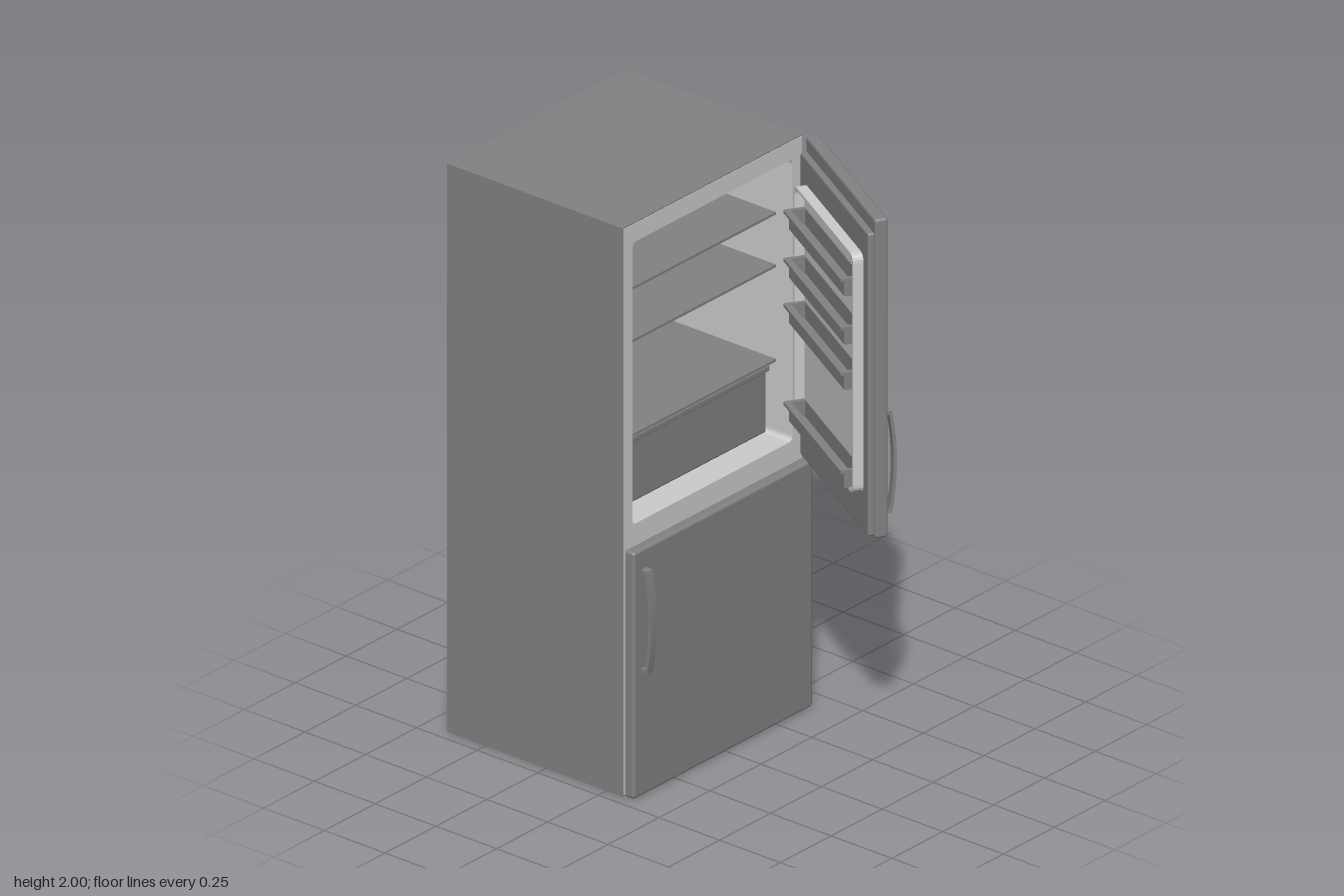
import * as THREE from 'three';
import { RoundedBoxGeometry } from 'three/addons/geometries/RoundedBoxGeometry.js';

const light = new THREE.MeshStandardMaterial({ color: 0xcccccc });
light.name = 'light grey';
const dark = new THREE.MeshStandardMaterial({ color: 0x828282 });
dark.name = 'dark grey';

function add(parent, name, geometry, material) {
  const mesh = new THREE.Mesh(geometry, material);
  mesh.name = name;
  parent.add(mesh);
  return mesh;
}

// Box given by its limits; a radius rounds the edges
function box(parent, name, material, [x0, x1], [y0, y1], [z0, z1], radius = 0) {
  const size = [x1 - x0, y1 - y0, z1 - z0];
  const geometry = radius
    ? new RoundedBoxGeometry(...size, 3, radius)
    : new THREE.BoxGeometry(...size);
  geometry.translate((x0 + x1) / 2, (y0 + y1) / 2, (z0 + z1) / 2);
  return add(parent, name, geometry, material);
}

// Rounded rectangle outline
function outline(target, x0, x1, y0, y1, r) {
  target.moveTo(x0 + r, y0);
  target.lineTo(x1 - r, y0);
  target.quadraticCurveTo(x1, y0, x1, y0 + r);
  target.lineTo(x1, y1 - r);
  target.quadraticCurveTo(x1, y1, x1 - r, y1);
  target.lineTo(x0 + r, y1);
  target.quadraticCurveTo(x0, y1, x0, y1 - r);
  target.lineTo(x0, y0 + r);
  target.quadraticCurveTo(x0, y0, x0 + r, y0);
  return target;
}

// Extruded rounded frame with a rounded opening
function frame(outer, inner, depth) {
  const shape = outline(new THREE.Shape(), ...outer);
  shape.holes.push(outline(new THREE.Path(), ...inner));
  return new THREE.ExtrudeGeometry(shape, { depth, bevelEnabled: false, curveSegments: 5 });
}

// Bowed pull handle, standing out along +z
function handle(parent, x, y, z) {
  const s = new THREE.Shape();
  s.moveTo(0, -0.18);
  s.lineTo(0.026, -0.18);
  s.quadraticCurveTo(0.06, 0, 0.026, 0.18);
  s.lineTo(0, 0.18);
  s.lineTo(0, 0.167);
  s.lineTo(0.017, 0.167);
  s.quadraticCurveTo(0.046, 0, 0.017, -0.167);
  s.lineTo(0, -0.167);
  const geometry = new THREE.ExtrudeGeometry(s, { depth: 0.028, bevelEnabled: false, curveSegments: 16 });
  geometry.translate(0, 0, -0.014).rotateY(-Math.PI / 2);
  add(parent, 'handle', geometry, dark).position.set(x, y, z);
}

// Open storage bin on the inside of the upper door
function doorBin(parent, top) {
  const bin = new THREE.Group();
  bin.name = 'doorBin';
  const wall = frame([-0.582, -0.061, 0.066, 0.125, 0.008], [-0.574, -0.069, 0.072, 0.117, 0.006], 0.06);
  const rim = frame([-0.588, -0.055, 0.066, 0.14, 0.008], [-0.574, -0.069, 0.072, 0.117, 0.006], 0.01);
  // shape y becomes -z, extrusion becomes +y
  add(bin, 'binWall', wall.rotateX(-Math.PI / 2), dark).position.y = top - 0.065;
  add(bin, 'binRim', rim.rotateX(-Math.PI / 2), dark).position.y = top - 0.01;
  box(bin, 'binFloor', dark, [-0.576, -0.067], [top - 0.065, top - 0.057], [-0.12, -0.068]);
  parent.add(bin);
}

export function createModel() {
  const model = new THREE.Group();
  model.name = 'refrigerator';

  // Cabinet: a hollow upper compartment, with contrasting outer panels
  const cabinet = new THREE.Group();
  cabinet.name = 'cabinet';
  model.add(cabinet);
  const shell = frame([-0.456, 0.418, 0.004, 1.996, 0.003], [-0.414, 0.372, 0.94, 1.932, 0.02], 0.67);
  add(cabinet, 'cabinetShell', shell, light).position.z = -0.602;
  box(cabinet, 'backPanel', light, [-0.456, 0.418], [0.004, 1.996], [-0.66, -0.602]);
  box(cabinet, 'sidePanel', dark, [-0.46, -0.456], [0, 2], [-0.658, 0.066]);
  box(cabinet, 'topPanel', dark, [-0.46, 0.418], [1.996, 2], [-0.658, 0.066]);
  box(cabinet, 'bottomPanel', dark, [-0.46, 0.418], [0, 0.004], [-0.658, 0.066]);

  // Shelves and drawer
  for (const y of [1.72, 1.535, 1.203]) {
    box(cabinet, 'shelf', dark, [-0.414, 0.372], [y - 0.005, y + 0.004], [-0.602, 0]);
  }
  box(cabinet, 'drawer', dark, [-0.405, 0.363], [0.942, 1.165], [-0.58, -0.03], 0.01);
  box(cabinet, 'drawerLip', dark, [-0.41, 0.368], [1.16, 1.182], [-0.58, -0.02], 0.005);

  // Lower door
  const lowerDoor = new THREE.Group();
  lowerDoor.name = 'lowerDoor';
  model.add(lowerDoor);
  box(lowerDoor, 'lowerDoorPanel', dark, [-0.46, 0.42], [0.003, 0.87], [0.072, 0.113], 0.01);
  box(lowerDoor, 'lowerDoorSeal', dark, [-0.44, 0.4], [0.02, 0.85], [0.066, 0.074]);
  handle(lowerDoor, -0.411, 0.62, 0.112);

  // Upper door, swung open; its outer face is local z = 0
  const upperDoor = new THREE.Group();
  upperDoor.name = 'upperDoor';
  upperDoor.position.set(0.461, 0, 0.102);
  upperDoor.rotation.y = Math.PI / 3;
  model.add(upperDoor);
  box(upperDoor, 'upperDoorPanel', dark, [-0.645, 0], [0.876, 2], [-0.045, 0], 0.01);
  box(upperDoor, 'upperDoorInner', dark, [-0.637, -0.008], [0.884, 1.95], [-0.066, -0.04], 0.008);
  const ring = frame([-0.596, -0.047, 1.02, 1.86, 0.03], [-0.586, -0.057, 1.03, 1.85, 0.025], 0.038);
  add(upperDoor, 'doorLiner', ring, light).position.z = -0.102;
  box(upperDoor, 'doorLinerBack', light, [-0.59, -0.053], [1.026, 1.854], [-0.069, -0.064]);
  for (const top of [1.78, 1.61, 1.45, 1.105]) doorBin(upperDoor, top);
  handle(upperDoor, -0.594, 1.12, -0.001);

  return model;
}
